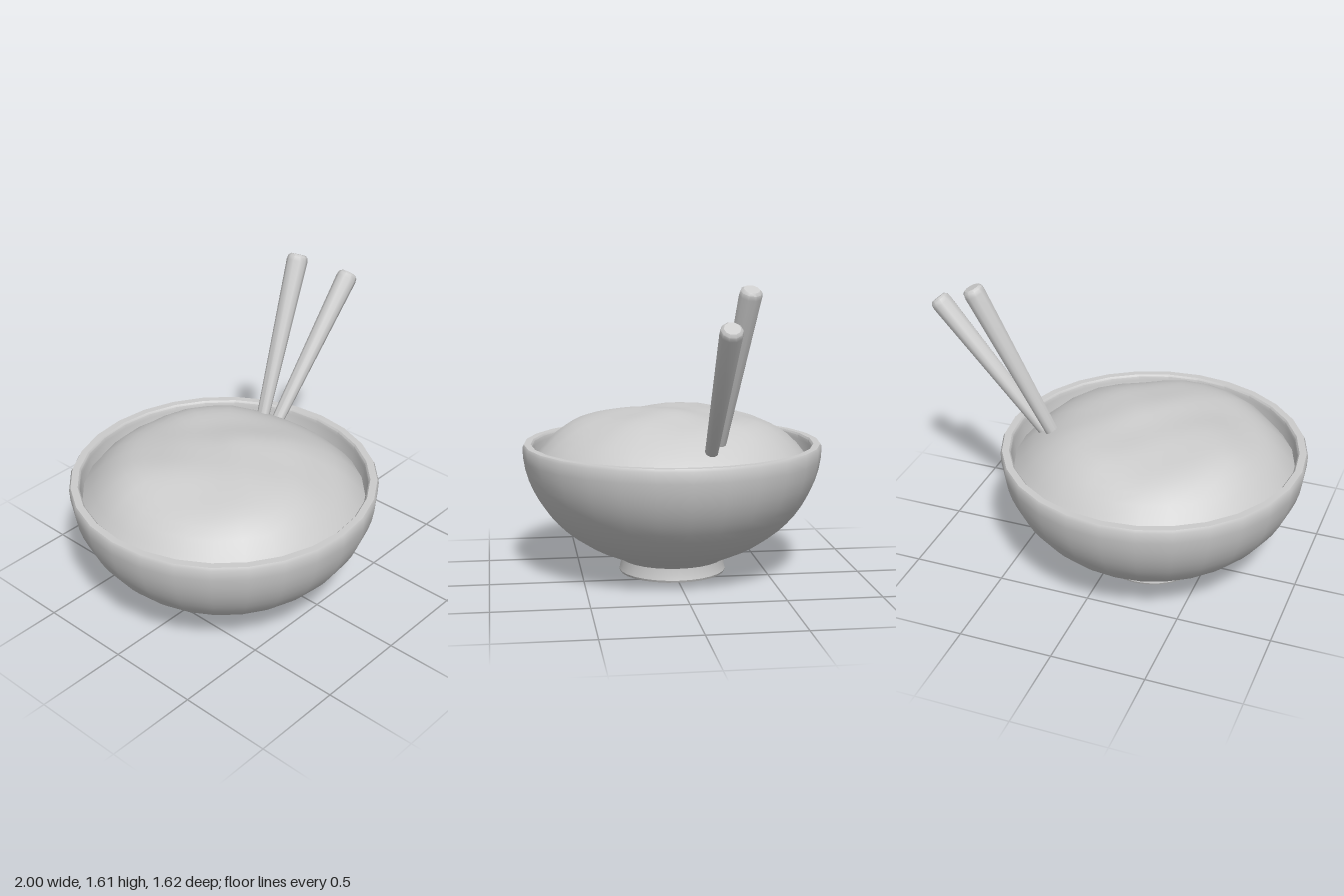
import * as THREE from 'three';
import { mergeVertices, toCreasedNormals } from 'three/addons/utils/BufferGeometryUtils.js';

const BOWL_X = -0.19;
const SIDES = 28;

function lathe(points, sides, crease) {
  const geo = new THREE.LatheGeometry(points.map(([r, y]) => new THREE.Vector2(r, y)), sides);
  return toCreasedNormals(geo, crease);
}

// Bowl: foot ring, elliptical outside, flat rim, elliptical inside
function bowlGeometry() {
  const pts = [[0, 0.015], [0.26, 0.015], [0.27, 0], [0.286, 0], [0.291, 0.012], [0.284, 0.04], [0.282, 0.075], [0.31, 0.092]];
  const arc = (a, b, from, to, n) => {
    for (let i = 0; i <= n; i++) {
      const t = from + (to - from) * i / n;
      pts.push([a * Math.cos(t), 0.7 - b * Math.sin(t)]);
    }
  };
  arc(0.81, 0.655, 1.12, 0, 12);
  pts.push([0.802, 0.715], [0.765, 0.715], [0.757, 0.705]);
  arc(0.755, 0.57, 0.03, Math.PI / 2, 8);
  return lathe(pts, SIDES, 0.6);
}

// Heaped rice: a flattened dome with gentle lumps
function riceHeight(x, z) {
  const r = Math.hypot(x, z) / 0.745;
  const lumps = 0.011 * Math.sin(7 * x + 4 * z + 0.6) + 0.009 * Math.sin(9 * z - 5 * x + 1.2)
    + 0.006 * Math.sin(15 * x + 2 * z) * Math.cos(13 * z);
  return 0.882 - 0.26 * r ** 4 - 0.03 * x * (1 - r * r * 0.5) + lumps * (1 - 0.6 * r ** 4);
}

function riceGeometry() {
  let geo = new THREE.RingGeometry(0, 0.745, SIDES, 14);
  geo.rotateX(-Math.PI / 2);
  geo.deleteAttribute('uv');
  geo.deleteAttribute('normal');
  const p = geo.attributes.position;
  for (let i = 0; i < p.count; i++) p.setY(i, riceHeight(p.getX(i), p.getZ(i)));
  geo = mergeVertices(geo, 1e-4);
  geo.computeVertexNormals();
  return geo;
}

// Tapered stick with a softened thick end, laid from its tip to its top
function chopstick(tip, top, material) {
  const a = new THREE.Vector3(...tip), b = new THREE.Vector3(...top);
  const dir = b.clone().sub(a).normalize();
  a.addScaledVector(dir, -0.12); // buried in the rice
  const len = a.distanceTo(b);
  const geo = lathe([[0, 0], [0.032, 0], [0.057, len - 0.035], [0.053, len - 0.012], [0.04, len], [0, len]], 10, 0.75);
  const mesh = new THREE.Mesh(geo, material);
  mesh.position.copy(a);
  mesh.quaternion.setFromUnitVectors(new THREE.Vector3(0, 1, 0), dir);
  return mesh;
}

export function createModel() {
  const group = new THREE.Group();
  const material = new THREE.MeshStandardMaterial({ color: 0xcccccc });
  const add = (name, mesh) => {
    mesh.name = name;
    group.add(mesh);
    return mesh;
  };

  add('bowl', new THREE.Mesh(bowlGeometry(), material)).position.x = BOWL_X;
  add('rice', new THREE.Mesh(riceGeometry(), material)).position.x = BOWL_X;
  add('frontChopstick', chopstick([0.41, 0.78, -0.125], [0.965, 1.43, -0.125], material));
  add('backChopstick', chopstick([0.33, 0.81, -0.18], [0.695, 1.59, -0.265], material));
  return group;
}
